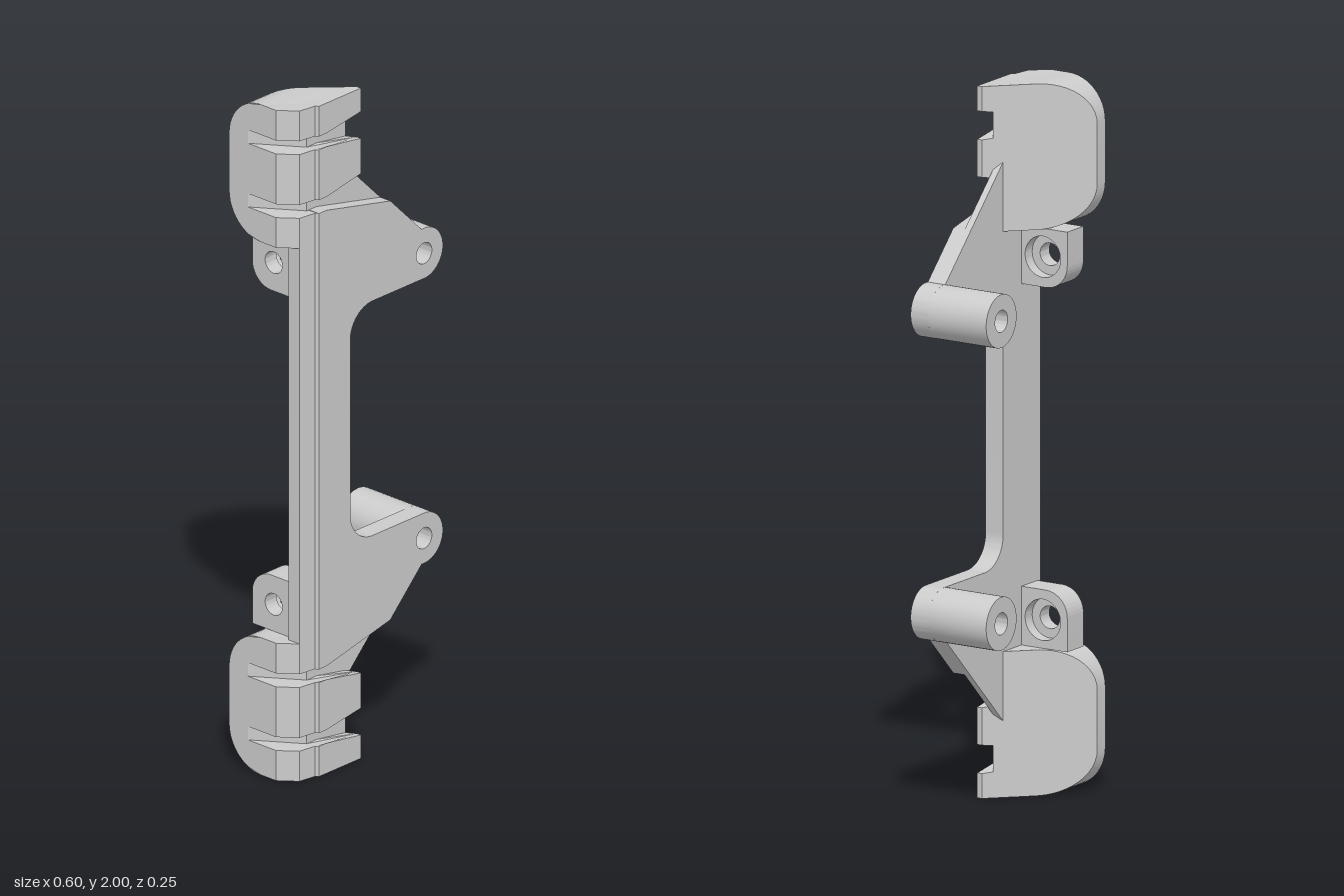
import * as THREE from 'three';
import { toCreasedNormals } from 'three/addons/utils/BufferGeometryUtils.js';

const grey = new THREE.MeshStandardMaterial({ color: 0xcccccc });

// Skin a stack of equal-length rings of [x, y, z], counter-clockwise from above, and cap both ends.
function loft(rings) {
  const n = rings[0].length, index = [];
  for (let k = 0; k + 1 < rings.length; k++) {
    for (let i = 0; i < n; i++) {
      const a = k * n + i, b = k * n + (i + 1) % n;
      index.push(a, b, b + n, a, b + n, a + n);
    }
  }
  const cap = (ring) => THREE.ShapeUtils.triangulateShape(ring.map(([x, , z]) => new THREE.Vector2(x, -z)), []);
  const top = (rings.length - 1) * n;
  for (const [a, b, c] of cap(rings[0])) index.push(a, c, b);
  for (const [a, b, c] of cap(rings[rings.length - 1])) index.push(top + a, top + b, top + c);
  const g = new THREE.BufferGeometry();
  g.setAttribute('position', new THREE.Float32BufferAttribute(rings.flat(2), 3));
  g.setIndex(index);
  return finish(g);
}

function finish(g) {
  return toCreasedNormals(g.index ? g.toNonIndexed() : g, 0.5);
}

function extrude(shape, depth) {
  return finish(new THREE.ExtrudeGeometry(shape, { depth, bevelEnabled: false, curveSegments: 20 }));
}

function hole(x, y, r) {
  return new THREE.Path().absarc(x, y, r, 0, Math.PI * 2, true);
}

// Mirror a geometry about y = 1 and restore its winding.
function mirrorY(geometry) {
  const g = geometry.clone();
  for (const name of ['position', 'normal']) {
    const a = g.attributes[name];
    for (let i = 0; i < a.count; i++) a.setY(i, name === 'position' ? 2 - a.getY(i) : -a.getY(i));
    for (let i = 0; i < a.count; i += 3) {
      const p = [a.getX(i + 1), a.getY(i + 1), a.getZ(i + 1)];
      a.setXYZ(i + 1, a.getX(i + 2), a.getY(i + 2), a.getZ(i + 2));
      a.setXYZ(i + 2, ...p);
    }
  }
  return g;
}

export function createModel() {
  const root = new THREE.Group();
  root.name = 'bracket';
  const add = (geometry, name) => {
    const mesh = new THREE.Mesh(geometry, grey);
    mesh.name = name;
    root.add(mesh);
  };
  const addPair = (geometry, name) => {
    add(geometry, 'upper' + name);
    add(mirrorY(geometry), 'lower' + name);
  };

  const front = 0.122, back = 0.065, floor = 0.085;
  const bossX = 0.22, bossY = 1.425, bossR = 0.075, boreR = 0.031;

  // Plate with two arms: draw the upper half and mirror its points
  const half = new THREE.Path();
  half.moveTo(-0.075, 1.0);
  half.lineTo(-0.075, 1.26);
  half.absarc(0.015, 1.26, 0.09, Math.PI, Math.PI / 2, true);
  half.lineTo(bossX, bossY - bossR);
  half.absarc(bossX, bossY, bossR, -Math.PI / 2, Math.PI * 0.54, false);
  half.lineTo(0.085, 1.625);
  half.lineTo(-0.17, 1.68);
  half.lineTo(-0.2, 1.68);
  const pts = half.getPoints(16).slice(1);
  const plate = new THREE.Shape([...pts, ...pts.map((p) => new THREE.Vector2(p.x, 2 - p.y)).reverse()]);
  plate.holes.push(hole(bossX, bossY, boreR), hole(bossX, 2 - bossY, boreR));
  add(extrude(plate, front - back).translate(0, 0, back), 'plate');

  // Bevelled long edge of the plate
  const edge = [[-0.26, back], [-0.26, 0.105], [-0.207, 0.113], [-0.2, front], [-0.2, back]];
  add(loft([0.41, 1.59].map((y) => edge.map(([x, z]) => [x, y, z]))), 'plateEdge');

  // Thin web in the groove beyond each arm
  const web = new THREE.Shape([[-0.2, 1.68], [-0.17, 1.68], [0.085, 1.625], [-0.033, 1.743], [-0.08, 1.79], [-0.2, 1.79]]
    .map(([x, y]) => new THREE.Vector2(x, y)));
  addPair(extrude(web, floor - back).translate(0, 0, back), 'ArmWeb');

  // Tubular bosses
  const boss = new THREE.Shape().absarc(bossX, bossY, bossR, 0, Math.PI * 2);
  boss.holes.push(hole(bossX, bossY, boreR));
  addPair(extrude(boss, back + 0.125).translate(0, 0, -0.125), 'Boss');

  // End blocks: chamfered section with both back edges rounded
  const y0 = 1.59, y1 = 2, r = 0.12;
  const core = [];
  const section = (y, zc) => core.push([
    [-0.3, y, zc], [-0.3, y, Math.max(zc + 0.001, -0.05)], [-0.21, y, floor],
    [-0.055, y, floor], [-0.14 + zc, y, zc],
  ]);
  const steps = 12;
  for (let i = 0; i <= steps; i++) {
    const a = (i / steps) * Math.PI / 2;
    section(y0 + r - r * Math.cos(a), -r * Math.sin(a));
  }
  for (let i = steps; i >= 0; i--) {
    const a = (i / steps) * Math.PI / 2;
    section(y1 - r + r * Math.cos(a), -r * Math.sin(a));
  }
  addPair(loft(core), 'EndBlock');

  // Raised pads on each block, separated by grooves that flare toward the inner side
  const padProfile = [
    [-0.3, -0.05], [-0.3, 0], [-0.3, 0.055], [-0.26, 0.105], [-0.207, 0.113], [-0.2, front],
    [-0.17, front], [-0.033, front], [-0.033, 0.107], [-0.055, floor], [-0.17, floor], [-0.21, floor],
  ];
  const flare = (x) => Math.max(0, (x + 0.17) / 0.137);
  const pads = [
    { lo: y0, loFlare: 0, hi: 1.68, hiFlare: -0.03 },
    { lo: 1.72, loFlare: 0.025, hi: 1.87, hiFlare: -0.02 },
    { lo: 1.91, loFlare: 0.02, hi: y1, hiFlare: 0 },
  ];
  pads.forEach((p, i) => {
    const ring = (y, k) => padProfile.map(([x, z]) => {
      const inset = z < 0 ? r - Math.sqrt(r * r - z * z) : 0;
      return [x, THREE.MathUtils.clamp(y + k * flare(x), y0 + inset, y1 - inset), z];
    });
    addPair(loft([ring(p.lo, p.loFlare), ring(p.hi, p.hiFlare)]), 'Pad' + (i + 1));
  });

  // Screw lugs behind the plate, bored sideways with a wider recess on the inner side
  const lug = (bore, x0, x1) => {
    const s = new THREE.Shape();
    s.moveTo(-back - 0.005, 1.59);
    s.lineTo(-back - 0.005, 1.425);
    s.lineTo(0.015, 1.425);
    s.absarc(0.015, 1.495, 0.07, -Math.PI / 2, 0, false);
    s.lineTo(0.085, 1.59);
    s.holes.push(hole(0.005, 1.51, bore));
    return extrude(s, x1 - x0).rotateY(Math.PI / 2).translate(x0, 0, 0);
  };
  addPair(lug(0.032, -0.245, -0.2), 'LugOuter');
  addPair(lug(0.058, -0.2, -0.165), 'LugInner');

  return root;
}
